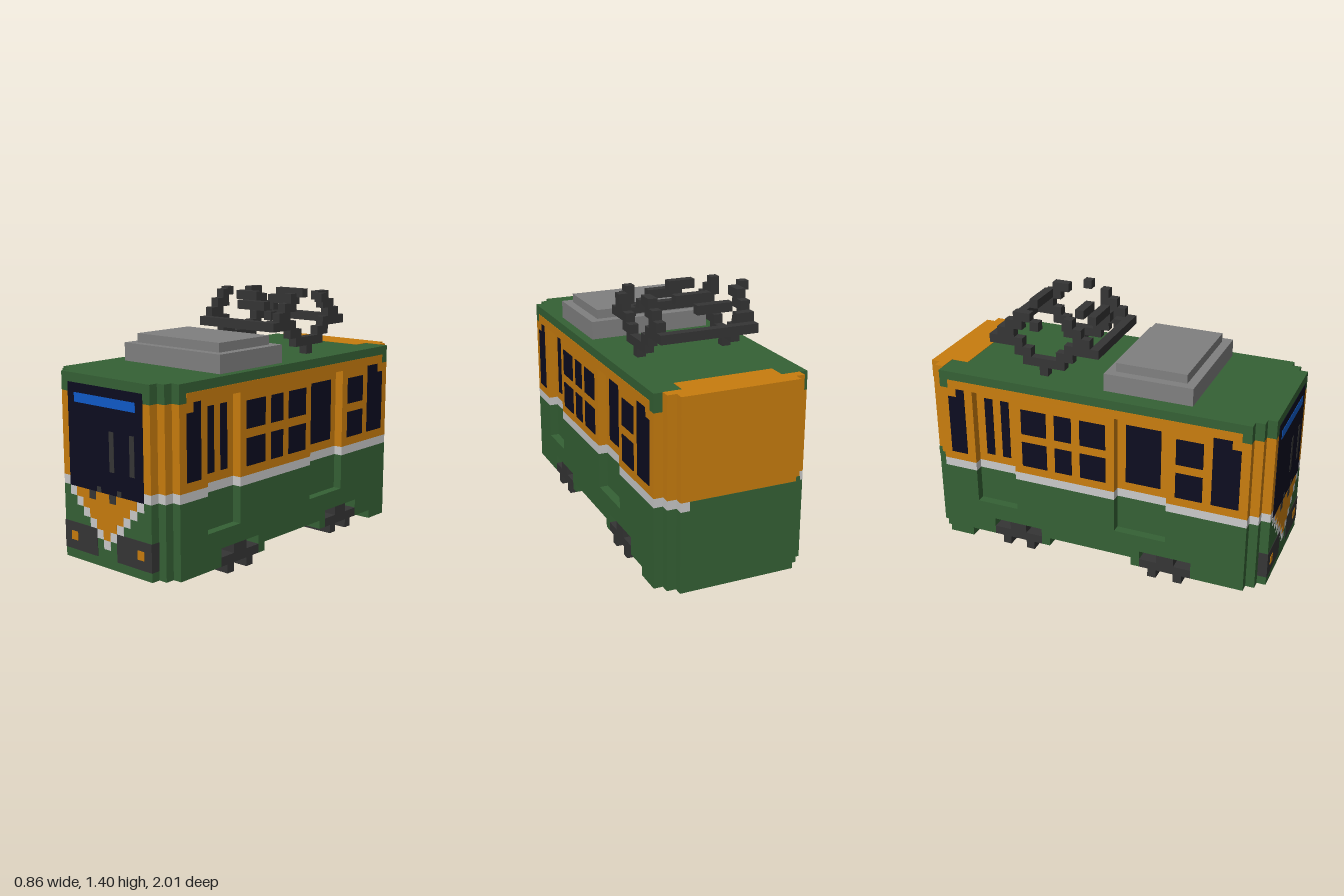
import * as THREE from 'three';

const mat = (name, color) => Object.assign(new THREE.MeshStandardMaterial({ color }), { name });
const green = mat('green', 0x356135);
const orange = mat('orange', 0xc97d0e);
const white = mat('white', 0xcacaca);
const navy = mat('navy glass', 0x0c0c20);
const dark = mat('dark grey', 0x353535);
const grey = mat('roof grey', 0x808080);
const blue = mat('sign blue', 0x105bca);

// Box given by its limits on each axis
function box(parent, name, material, x0, x1, y0, y1, z0, z1) {
  const mesh = new THREE.Mesh(new THREE.BoxGeometry(x1 - x0, y1 - y0, z1 - z0), material);
  mesh.position.set((x0 + x1) / 2, (y0 + y1) / 2, (z0 + z1) / 2);
  mesh.name = name;
  parent.add(mesh);
  return mesh;
}

// Flat outline of [x, z] points raised from y0 to y1
function slab(parent, name, material, points, y0, y1, hole) {
  const toVec = ([x, z]) => new THREE.Vector2(x, -z);
  const shape = new THREE.Shape(points.map(toVec));
  if (hole) shape.holes.push(new THREE.Path(hole.map(toVec)));
  const geometry = new THREE.ExtrudeGeometry(shape, { depth: y1 - y0, bevelEnabled: false });
  geometry.rotateX(-Math.PI / 2);
  const mesh = new THREE.Mesh(geometry, material);
  mesh.position.y = y0;
  mesh.name = name;
  parent.add(mesh);
}

// Body outline with stepped corners; the two sides match by a half turn
function plan(doors) {
  const half = [[0.325, 1], [0.325, 0.95], [0.375, 0.95], [0.375, 0.9], [0.425, 0.9]];
  if (doors) {
    for (const [a, b] of [[0.7, 0.45], [-0.15, -0.45]]) {
      half.push([0.425, a], [0.375, a], [0.375, b], [0.425, b]);
    }
  }
  half.push([0.425, -0.9], [0.375, -0.9], [0.375, -0.95], [0.325, -0.95], [0.325, -1]);
  return [...half, ...half.map(([x, z]) => [-x, -z])];
}

function addBody(g) {
  slab(g, 'lowerBody', green, plan(false), 0.15, 0.25);
  slab(g, 'lowerBodyWithDoors', green, plan(true), 0.25, 0.45);
  slab(g, 'waistStripe', white, plan(true), 0.45, 0.5);
  slab(g, 'upperBody', orange, plan(true), 0.5, 0.95);
  slab(g, 'roof', green, plan(false), 0.95, 1.05);
  // Rear end colours
  box(g, 'rearTop', orange, -0.327, 0.327, 0.95, 1.052, -1.002, -0.95);
  box(g, 'rearTopStep', orange, -0.377, 0.377, 0.95, 1.052, -0.952, -0.9);
  box(g, 'rearRoofPatch', orange, -0.275, 0.275, 1.045, 1.052, -0.9, -0.8);
  box(g, 'rearWaist', green, -0.327, 0.275, 0.45, 0.5, -1.002, -0.95);
  box(g, 'rearWaistStep', green, -0.377, 0, 0.45, 0.5, -0.952, -0.9);
}

// One side's windows and upper trim, for +x
function makeSide() {
  const s = new THREE.Group();
  const pane = (z0, z1, y0, y1, x = 0.425) =>
    box(s, 'sideWindow', navy, x - 0.004, x + 0.004, y0, y1, z0, z1);
  box(s, 'upperTrim', orange, 0.42, 0.427, 0.95, 1, -0.85, 0.85);
  pane(0.75, 0.85, 0.55, 0.9);
  pane(0.75, 0.8, 0.9, 0.95);
  pane(-0.85, -0.7, 0.55, 0.9);
  pane(-0.8, -0.7, 0.9, 0.95);
  for (const [z0, z1] of [[0.25, 0.4], [0.1, 0.2], [-0.1, 0.05], [-0.65, -0.5]]) {
    pane(z0, z1, 0.55, 0.7);
    pane(z0, z1, 0.75, 0.9);
  }
  // Door glass in the recesses
  for (const [z0, z1] of [[0.6, 0.65], [0.5, 0.55], [-0.4, -0.2]]) pane(z0, z1, 0.55, 0.9, 0.375);
  return s;
}

function addFront(g) {
  const plate = (name, m, x0, x1, y0, y1, out = 0.003) =>
    box(g, name, m, x0, x1, y0, y1, 0.996, 1 + out);
  plate('windscreen', navy, -0.275, 0.275, 0.45, 1);
  plate('destinationSign', blue, -0.225, 0.225, 0.9, 0.95, 0.005);
  for (const x of [0.05, 0.198]) plate('wiperBlade', dark, x - 0.017, x + 0.017, 0.57, 0.78, 0.005);
  for (const x of [-0.1, 0.05]) {
    plate('wiperMount', dark, x - 0.024, x + 0.024, 0.405, 0.45, 0.005);
    plate('wiperArm', dark, x + 0.035, x + 0.065, 0.45, 0.48, 0.005);
  }
  // Stepped V of orange edged in white
  for (let i = 0; i < 6; i++) {
    const outer = 0.275 - i * 0.05, y = 0.4 - i * 0.05;
    plate('frontVEdge', white, -outer, outer, y, y + 0.05, 0.002);
    if (i < 5) plate('frontVFill', orange, 0.05 - outer, outer - 0.05, y, y + 0.05, 0.0035);
  }
  // Lamp panels wrap around the corner step
  for (const s of [-1, 1]) {
    const c = s * 0.2;
    box(g, 'lampPanel', dark, c - 0.126, c + 0.126, 0.1, 0.25, 0.95, 1.003);
    plate('headlamp', orange, s * 0.25 - 0.024, s * 0.25 + 0.024, 0.152, 0.2, 0.006);
  }
}

function addUnderside(g) {
  box(g, 'floorPan', green, -0.425, 0.425, 0.1, 0.15, -0.25, 0.25);
  for (const s of [-1, 1]) {
    const across = (name, m, a, b, y0, y1) =>
      box(g, name, m, -0.425, 0.425, y0, y1, Math.min(s * a, s * b), Math.max(s * a, s * b));
    across('skirtLip', green, 0.25, 0.3, 0.05, 0.15);
    // Bogie: pivot beam, frame and two runners
    across('bogieBeam', dark, 0.4, 0.5, 0.1, 0.15);
    across('bogieFrame', dark, 0.3, 0.6, 0.05, 0.1);
    across('wheelBar', dark, 0.35, 0.4, 0, 0.05);
    across('wheelBar', dark, 0.5, 0.55, 0, 0.05);
    // Hollow skirt under each end
    const end = (inner) => {
      const right = [[0.325, 1], [0.325, 0.95], [0.375, 0.95], [0.375, 0.9], [0.425, 0.9], [0.425, inner]];
      const left = right.map(([x, z]) => [-x, z]).reverse();
      return [...right, ...left].map(([x, z]) => [x, s * z]);
    };
    const hole = (inner) => [[-0.325, inner], [0.325, inner], [0.325, 0.9], [-0.325, 0.9]].map(([x, z]) => [x, s * z]);
    slab(g, 'endSkirt', green, end(0.6), 0.05, 0.15, hole(0.7));
    if (s < 0) slab(g, 'rearLowSkirt', green, end(0.75), 0, 0.05, hole(0.8));
  }
}

function addRoofGear(g) {
  box(g, 'coolerBase', grey, -0.325, 0.375, 1.05, 1.15, 0.05, 0.55);
  box(g, 'coolerTop', grey, -0.275, 0.325, 1.15, 1.2, 0.1, 0.5);

  // Current collector built of square bars, one layer per 0.05
  const p = new THREE.Group();
  p.name = 'currentCollector';
  g.add(p);
  const bar = (name, x0, x1, y, z0, z1) => box(p, name, dark, x0, x1, y, y + 0.05, z0, z1);
  const sideBars = [
    [1.05, -0.35, -0.3], [1.1, -0.45, -0.2],
    [1.15, -0.25, -0.15], [1.15, -0.5, -0.4],
    [1.2, -0.2, 0], [1.2, -0.65, -0.45],
    [1.25, -0.15, -0.05], [1.25, -0.6, -0.5],
    [1.3, -0.2, -0.1], [1.3, -0.55, -0.45],
    [1.35, -0.2, -0.15], [1.35, -0.5, -0.4],
  ];
  for (const s of [-1, 1]) {
    for (const [y, z0, z1] of sideBars) bar('sideArm', s * 0.25 - 0.025, s * 0.25 + 0.025, y, z0, z1);
    bar('hornTip', s * 0.35 - 0.025, s * 0.35 + 0.025, 1.35, -0.35, -0.3);
  }
  bar('frontRail', -0.225, 0.225, 1.2, -0.05, 0);
  bar('rearRail', -0.225, 0.225, 1.2, -0.65, -0.6);
  // Slanting cross arms
  bar('frontCrossArm', 0.175, 0.225, 1.2, -0.1, -0.05);
  bar('frontCrossArm', 0.125, 0.175, 1.25, -0.15, -0.1);
  bar('frontCrossArm', -0.075, 0.125, 1.3, -0.15, -0.1);
  bar('frontCrossArm', -0.125, 0.025, 1.35, -0.2, -0.15);
  bar('rearCrossArm', -0.225, -0.175, 1.25, -0.6, -0.55);
  bar('rearCrossArm', -0.175, 0.025, 1.3, -0.55, -0.5);
  bar('rearCrossArm', -0.075, 0.125, 1.35, -0.5, -0.45);
}

export function createModel() {
  const tram = new THREE.Group();
  tram.name = 'tram';
  addBody(tram);
  addFront(tram);
  addUnderside(tram);
  addRoofGear(tram);
  const left = makeSide();
  left.name = 'leftSide';
  const right = makeSide();
  right.name = 'rightSide';
  right.rotation.y = Math.PI;
  tram.add(left, right);
  return tram;
}
